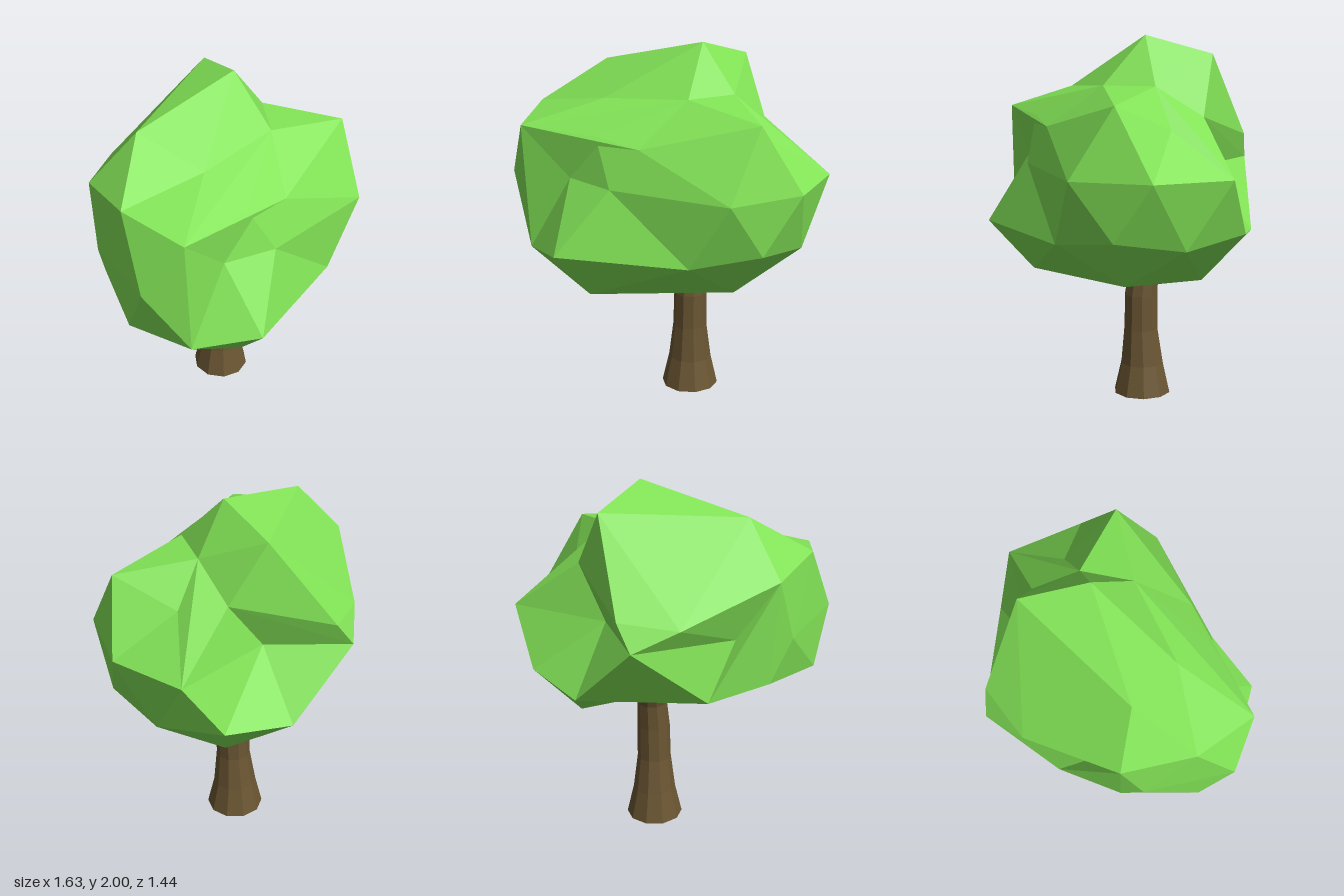
import * as THREE from 'three';
import { ConvexGeometry } from 'three/addons/geometries/ConvexGeometry.js';

const leafMaterial = new THREE.MeshStandardMaterial({ color: 0x82e356, flatShading: true });
const barkMaterial = new THREE.MeshStandardMaterial({ color: 0x6b5633, flatShading: true });

// Corners of the crown, shared by neighbouring lobes so that their creases meet.
const corners = {
  // crest
  peak: [0.155, 2.0, -0.03], peakBack: [0.265, 1.9, -0.375], peakWest: [-0.455, 1.86, -0.09],
  notchFront: [0.185, 1.74, 0.22], notchSide: [0.35, 1.74, -0.01], notchBack: [0.43, 1.58, -0.25],
  shelf: [-0.3, 1.71, 0.235],
  // back
  backHigh: [0.07, 1.44, -0.67], backMid: [-0.02, 1.3, -0.72], backWest: [-0.24, 1.4, -0.595],
  backLow: [0.335, 0.94, -0.59], backFold: [0.25, 1.3, -0.34],
  rearFold: [-0.45, 1.27, -0.31], rearLow: [-0.35, 0.96, -0.46],
  // west
  westHigh: [-0.66, 1.58, -0.24], westTop: [-0.75, 1.64, 0.13], westTip: [-0.82, 1.275, 0.34],
  westMid: [-0.715, 1.24, -0.13], westLow: [-0.78, 0.96, 0.18], westRear: [-0.617, 1.0, -0.214],
  westFoot: [-0.63, 0.905, 0.49],
  // front
  browWest: [-0.665, 1.58, 0.49], browMid: [-0.225, 1.56, 0.47], browEast: [0.03, 1.52, 0.485],
  seam: [-0.385, 1.32, 0.47], seamEast: [-0.105, 1.31, 0.555],
  chin: [-0.35, 0.96, 0.72], chinEast: [0.335, 0.94, 0.54], chinLow: [-0.275, 0.68, 0.48],
  // east
  horn: [0.63, 1.67, 0.32], hornDip: [0.54, 1.53, -0.02], cheek: [0.56, 1.3, 0.54],
  eastFront: [0.815, 1.3, 0.19], eastBack: [0.815, 1.3, -0.245],
  eastLowFront: [0.66, 0.99, 0.34], eastLow: [0.745, 0.94, -0.02], eastLowBack: [0.66, 0.99, -0.39],
  footFront: [0.445, 0.71, 0.195], footBack: [0.445, 0.71, -0.24],
  // recess above the trunk
  hollow: [-0.256, 1.11, -0.04],
};

// Each lobe is the faceted hull of its corners; the folds lie between lobes.
const lobes = {
  crestLobe: 'peak peakBack peakWest notchFront notchSide notchBack shelf backHigh backMid backWest backFold rearFold westHigh westTop',
  browLobe: 'browWest browMid browEast shelf westTop notchFront seam',
  seamLobe: 'browMid browEast seam seamEast shelf hollow',
  chinLobe: 'chin chinEast chinLow seam seamEast footFront footBack hollow',
  chinWestLobe: 'chin chinLow westFoot seam hollow',
  westLobe: 'westHigh westTop westTip westMid westLow westRear westFoot browWest shelf seam hollow',
  westRearLobe: 'rearLow rearFold westRear westMid westHigh hollow',
  rearLobe: 'backLow backMid backFold rearLow rearFold hollow',
  backLobe: 'backLow backFold eastLowBack footBack hollow',
  eastLobe: 'eastFront eastBack eastLowFront eastLow eastLowBack cheek chinEast seamEast footFront footBack hornDip backFold hollow',
  hornLobe: 'horn hornDip cheek eastFront notchFront notchSide browEast seamEast hollow',
  shoulderLobe: 'notchSide notchBack hornDip eastBack backFold hollow',
};

function createFoliage() {
  const foliage = new THREE.Group();
  foliage.name = 'foliage';
  for (const [name, keys] of Object.entries(lobes)) {
    const points = keys.split(' ').map((key) => new THREE.Vector3(...corners[key]));
    const lobe = new THREE.Mesh(new ConvexGeometry(points), leafMaterial);
    lobe.name = name;
    foliage.add(lobe);
  }
  return foliage;
}

// Trunk: a tube of rings, flared at the foot and leaning back at the top.
function createTrunk() {
  const rings = [ // height, centre x, centre z, radius
    [0, 0.082, -0.045, 0.16], [0.17, 0.082, -0.045, 0.121], [0.37, 0.085, -0.036, 0.096],
    [0.57, 0.088, -0.036, 0.093], [0.72, 0.09, -0.052, 0.084], [1.1, 0.065, -0.18, 0.072],
  ];
  const geometry = new THREE.CylinderGeometry(1, 1, rings.length - 1, 10, rings.length - 1);
  geometry.translate(0, (rings.length - 1) / 2, 0);
  const position = geometry.attributes.position;
  for (let i = 0; i < position.count; i++) {
    const [y, x, z, r] = rings[Math.round(position.getY(i))];
    position.setXYZ(i, x + r * position.getX(i), y, z + r * position.getZ(i));
  }
  geometry.computeVertexNormals();
  const trunk = new THREE.Mesh(geometry, barkMaterial);
  trunk.name = 'trunk';
  return trunk;
}

export function createModel() {
  const tree = new THREE.Group();
  tree.name = 'tree';
  tree.add(createTrunk(), createFoliage());
  return tree;
}
